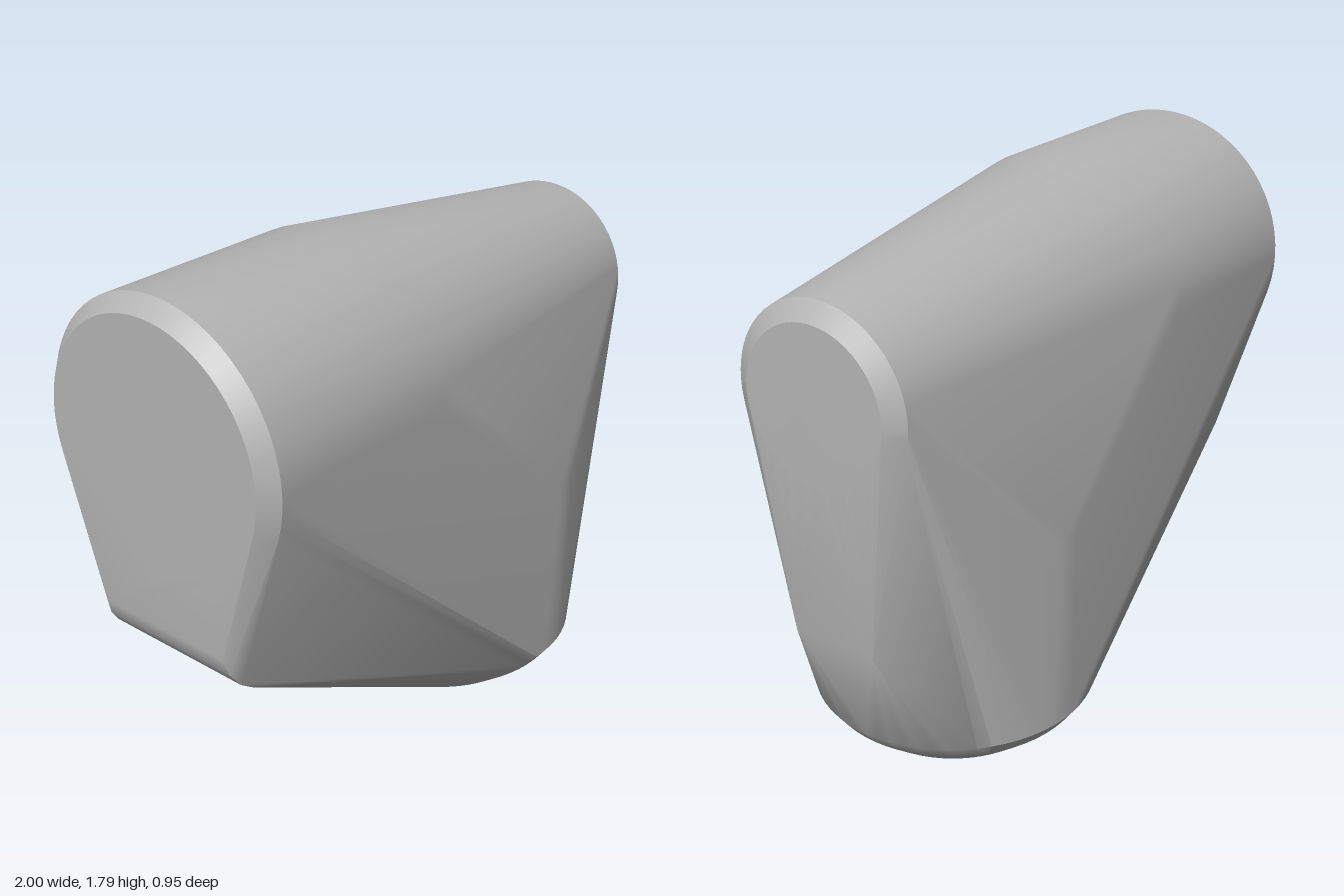
import * as THREE from 'three';
import { ConvexGeometry } from 'three/addons/geometries/ConvexGeometry.js';
import { toCreasedNormals } from 'three/addons/utils/BufferGeometryUtils.js';

const SEGMENTS = 64;

// Circle of points around a centre, facing along x (barrel) or y (foot)
function ring(axis, along, radius, offset) {
  return Array.from({ length: SEGMENTS }, (_, i) => {
    const a = (i / SEGMENTS) * Math.PI * 2;
    const c = Math.cos(a) * radius, s = Math.sin(a) * radius;
    return axis === 'x'
      ? new THREE.Vector3(along, offset + c, s)
      : new THREE.Vector3(offset + c, along, s);
  });
}

// The same point on both sides of the z = 0 plane
const mirrored = (x, y, z) => [new THREE.Vector3(x, y, z), new THREE.Vector3(x, y, -z)];

export function createModel() {
  const grey = new THREE.MeshStandardMaterial({ color: 0xb4b4b4 });
  grey.name = 'plain grey';

  const points = [];

  // Horizontal barrel with a bevelled large end and a tapered small end
  for (const [x, r] of [[-1, 0.415], [-0.95, 0.465], [-0.25, 0.465], [0.96, 0.31], [1, 0.25]]) {
    points.push(...ring('x', x, r, 1.325));
  }

  // Upright round foot with a chamfered base
  for (const [y, r] of [[0, 0.345], [0.075, 0.435], [0.13, 0.475], [0.8, 0.475]]) {
    points.push(...ring('y', y, r, 0.365));
  }

  // Rounded lower edge below the large end
  for (const [x, y, z] of [[-1, 0.73, 0.25], [-0.985, 0.675, 0.26], [-0.95, 0.625, 0.27], [-0.9, 0.588, 0.27]]) {
    points.push(...mirrored(x, y, z));
  }

  // Narrow lower edge below the small end
  points.push(...mirrored(0.965, 0.53, 0.15));

  // Skin stretched over all sections
  const body = new THREE.Mesh(toCreasedNormals(new ConvexGeometry(points), 0.5), grey);
  body.name = 'body';

  const group = new THREE.Group();
  group.name = 'taperedHousing';
  group.add(body);
  return group;
}
